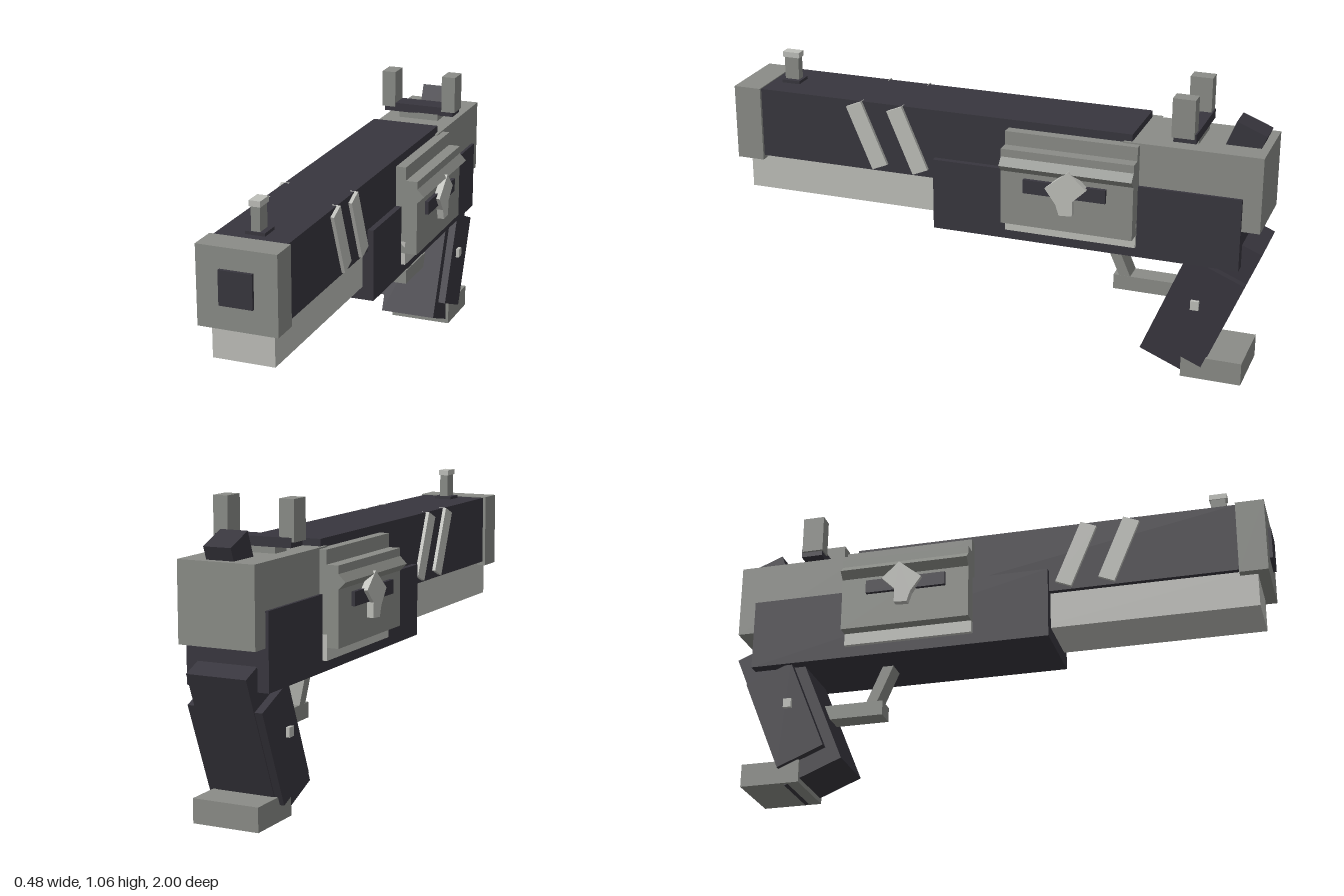
import * as THREE from 'three';

const mat = (name, color) => {
  const m = new THREE.MeshStandardMaterial({ color });
  m.name = name;
  return m;
};

export function createModel() {
  const model = new THREE.Group();
  model.name = 'pistol';
  const dark = mat('dark gunmetal', 0x38363e);
  const grey = mat('mid grey', 0x8a8c87);
  const light = mat('light grey', 0xbebfba);

  const add = (name, geometry, material) => {
    const mesh = new THREE.Mesh(geometry, material);
    mesh.name = name;
    model.add(mesh);
    return mesh;
  };
  // Box given by its extents on each axis
  const block = (name, material, [x0, x1], [y0, y1], [z0, z1]) => {
    const mesh = add(name, new THREE.BoxGeometry(x1 - x0, y1 - y0, z1 - z0), material);
    mesh.position.set((x0 + x1) / 2, (y0 + y1) / 2, (z0 + z1) / 2);
    return mesh;
  };
  // Box centred across x, given by its half width
  const centred = (name, material, half, y, z) => block(name, material, [-half, half], y, z);
  // Box tilted in the side plane
  const tilted = (name, material, size, pos, angle) => {
    const mesh = add(name, new THREE.BoxGeometry(...size), material);
    mesh.position.set(...pos);
    mesh.rotation.x = angle;
    return mesh;
  };

  // Barrel, slide and frame
  centred('slide', dark, 0.13, [0.655, 0.915], [-0.53, 0.89]);
  centred('muzzleBlock', grey, 0.141, [0.64, 0.918], [0.885, 0.988]);
  centred('muzzleBore', dark, 0.059, [0.725, 0.845], [0.98, 1.0]);
  centred('underBarrel', light, 0.11, [0.518, 0.66], [0.1, 0.948]);
  centred('frame', dark, 0.152, [0.47, 0.735], [-0.925, 0.2]);
  centred('rearBlock', grey, 0.141, [0.615, 0.89], [-0.99, -0.5]);

  // Front sight
  centred('frontSightBase', dark, 0.035, [0.91, 0.926], [0.775, 0.845]);
  centred('frontSightPost', grey, 0.016, [0.92, 1.012], [0.785, 0.84]);
  centred('frontSightCap', light, 0.02, [1.01, 1.03], [0.78, 0.845]);

  // Rear sight and hammer
  centred('rearSightFoot', grey, 0.08, [0.88, 0.915], [-0.75, -0.675]);
  centred('rearSightBase', dark, 0.141, [0.912, 0.945], [-0.755, -0.675]);
  tilted('hammer', dark, [0.1, 0.12, 0.115], [0, 0.9, -0.903], -0.38);

  // Grip, magazine foot and trigger guard
  const lean = -0.39;
  tilted('gripCore', dark, [0.22, 0.555, 0.228], [0, 0.31, -0.786], lean);
  tilted('gripPanels', dark, [0.277, 0.365, 0.185], [0, 0.275, -0.791], lean);
  centred('magazineFoot', grey, 0.122, [0.015, 0.1], [-0.95, -0.73]);
  centred('guardBar', grey, 0.038, [0.28, 0.335], [-0.7, -0.45]);
  tilted('guardStrut', grey, [0.075, 0.22, 0.038], [0, 0.4, -0.463], 0.41);

  // Lever outline in the side plane (z, y)
  const lever = new THREE.Shape([
    [-0.25, 0.72], [-0.29, 0.665], [-0.303, 0.625], [-0.351, 0.628],
    [-0.351, 0.682], [-0.4, 0.73], [-0.335, 0.79],
  ].map(([z, y]) => new THREE.Vector2(z, y)));
  const leverGeometry = new THREE.ExtrudeGeometry(lever, { depth: 0.025, bevelEnabled: false });
  leverGeometry.translate(0, 0, -0.0125);
  leverGeometry.rotateY(-Math.PI / 2);

  // Parts mirrored on both sides
  for (const s of [1, -1]) {
    const side = s > 0 ? 'left' : 'right';
    const span = (a, b) => (s > 0 ? [a, b] : [-b, -a]);
    const long = [-0.56, -0.08];

    block(side + 'RearSightPost', grey, span(0.096, 0.15), [0.93, 1.07], [-0.75, -0.67]);

    // Slide stripes
    for (const z of [0.461, 0.303])
      tilted(side + 'SlideStripe', light, [0.03, 0.25, 0.063], [s * 0.128, 0.789, z], 0.4);

    // Side plate with its ridge, slot and lever
    block(side + 'UpperStrip', grey, span(0.11, 0.168), [0.7, 0.885], long);
    block(side + 'LowerStrip', light, span(0.11, 0.168), [0.51, 0.6], long);
    block(side + 'SidePlate', grey, span(0.12, 0.212), [0.555, 0.835], long);
    const ridge = add(side + 'Ridge', new THREE.BoxGeometry(0.047, 0.047, 0.48), grey);
    ridge.position.set(s * 0.205, 0.78, -0.32);
    ridge.rotation.z = Math.PI / 4;
    block(side + 'Slot', dark, span(0.2, 0.226), [0.685, 0.735], [-0.465, -0.165]);
    add(side + 'Lever', leverGeometry, light).position.x = s * 0.2275;

    block(side + 'GripScrew', light, span(0.13, 0.152), [0.297, 0.331], [-0.792, -0.762]);
  }
  return model;
}
